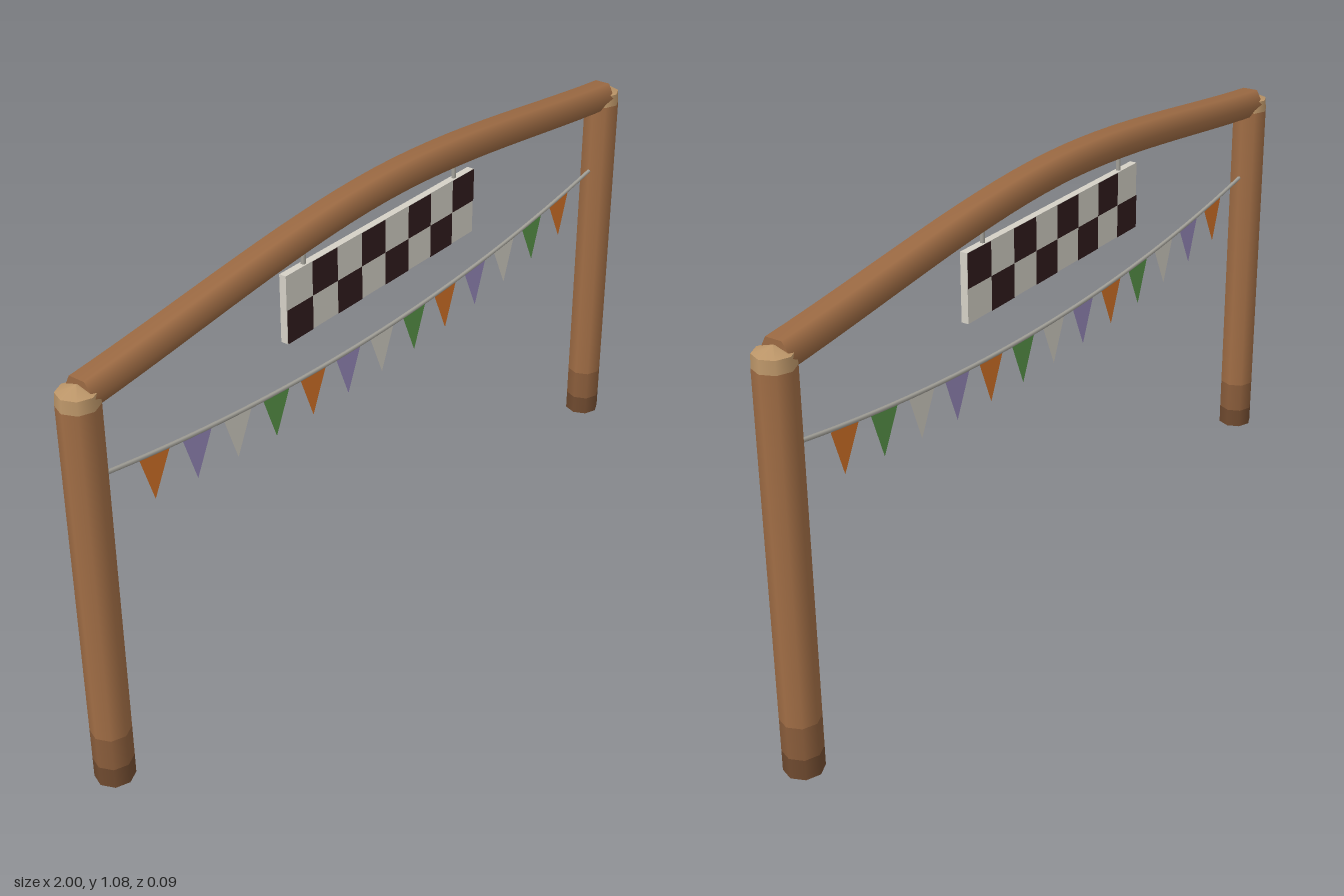
import * as THREE from 'three';

const mat = (name, color, side = THREE.FrontSide) => {
  const m = new THREE.MeshStandardMaterial({ color, side });
  m.name = name;
  return m;
};

export function createModel() {
  const root = new THREE.Group();
  root.name = 'archway';
  const wood = mat('wood', 0xa06d45);
  const woodMid = mat('weathered wood', 0x8a5d3b);
  const woodDark = mat('dark wood', 0x6f4a2f);
  const cutWood = mat('cut wood', 0xbb9568);
  const metal = mat('grey cord', 0xa5a39b);
  const pale = mat('pale cloth', 0xd4d0c6, THREE.DoubleSide);
  const dark = mat('dark check', 0x321c1d);
  const orange = mat('orange cloth', 0xd67429, THREE.DoubleSide);
  const purple = mat('purple cloth', 0x998bbd, THREE.DoubleSide);
  const green = mat('green cloth', 0x5a974a, THREE.DoubleSide);

  const add = (parent, name, geo, material, x = 0, y = 0, z = 0) => {
    const mesh = new THREE.Mesh(geo, material);
    mesh.name = name;
    mesh.position.set(x, y, z);
    parent.add(mesh);
    return mesh;
  };

  // Posts: wood slightly darker at the foot, with cut tops
  const bands = [[0, 0.05, woodDark], [0.05, 0.13, woodMid], [0.13, 0.935, wood]];
  for (const side of [-1, 1]) {
    const post = new THREE.Group();
    post.name = side > 0 ? 'leftPost' : 'rightPost';
    post.position.x = side * 0.955;
    for (const [y0, y1, m] of bands) {
      const geo = new THREE.CylinderGeometry(0.045, 0.045, y1 - y0, 8, 1, y0 > 0);
      add(post, 'postBand', geo, m, 0, (y0 + y1) / 2);
    }
    add(post, 'capRim', new THREE.CylinderGeometry(0.043, 0.045, 0.03, 8, 1, true), cutWood, 0, 0.95);
    add(post, 'capTop', new THREE.ConeGeometry(0.043, 0.014, 8, 1, true), cutWood, 0, 0.972);
    root.add(post);
  }

  // Beam: six-sided log, curved in the middle and straighter toward its ends
  const beamGeo = new THREE.CylinderGeometry(0.04, 0.04, 1.9, 6, 28);
  beamGeo.rotateZ(Math.PI / 2);
  const p = beamGeo.attributes.position, n = beamGeo.attributes.normal;
  const rise = 0.09, halfSpan = 0.95;
  for (let i = 0; i < p.count; i++) {
    const x = p.getX(i), y = p.getY(i), nx = n.getX(i), ny = n.getY(i);
    const u = 1 - Math.abs(x) / halfSpan;
    const centre = 0.956 + rise * (u + u * u - u * u * u);
    const a = Math.atan(-Math.sign(x) * (rise / halfSpan) * (1 + 2 * u - 3 * u * u));
    const c = Math.cos(a), s = Math.sin(a);
    p.setXY(i, x - s * y, centre + c * y);
    n.setXY(i, nx * c - ny * s, nx * s + ny * c);
  }
  add(root, 'archBeam', beamGeo, wood);

  // Hanging sign with thin dark checks on both faces
  const sign = new THREE.Group();
  sign.name = 'checkedSign';
  root.add(sign);
  add(sign, 'signBoard', new THREE.BoxGeometry(0.7, 0.165, 0.018), pale, 0, 0.878);
  const cell = new THREE.PlaneGeometry(0.0875, 0.0825);
  for (let col = 0; col < 8; col++) {
    const y = col % 2 ? 0.91925 : 0.83675;
    for (const face of [1, -1]) {
      const check = add(sign, 'darkCheck', cell, dark, -0.30625 + col * 0.0875, y, face * 0.0105);
      check.rotation.y = face > 0 ? 0 : Math.PI;
    }
  }
  for (const x of [-0.28, 0.28]) {
    add(sign, 'signHanger', new THREE.CylinderGeometry(0.006, 0.006, 0.08, 6), metal, x, 0.995);
  }

  // Sagging cord
  const sag = x => 0.672 + 0.08 * (x / 0.91) ** 2;
  const points = Array.from({ length: 15 }, (_, i) => {
    const x = -0.92 + (i * 1.84) / 14;
    return new THREE.Vector3(x, sag(x), 0);
  });
  add(root, 'buntingCord', new THREE.TubeGeometry(new THREE.CatmullRomCurve3(points), 42, 0.005, 6), metal);

  // Pennants, repeating four colours and tilted with the cord
  const triangle = new THREE.Shape([
    new THREE.Vector2(-0.045, 0), new THREE.Vector2(0, -0.108), new THREE.Vector2(0.045, 0),
  ]);
  const flagGeo = new THREE.ShapeGeometry(triangle);
  const cloths = [orange, purple, pale, green];
  for (let i = 0; i < 13; i++) {
    const x = (i - 6) * 0.1272;
    const flag = add(root, 'pennant', flagGeo, cloths[i % 4], x, sag(x) - 0.003);
    flag.rotation.z = Math.atan((0.16 * x) / 0.91 ** 2) * 0.5;
  }
  return root;
}
